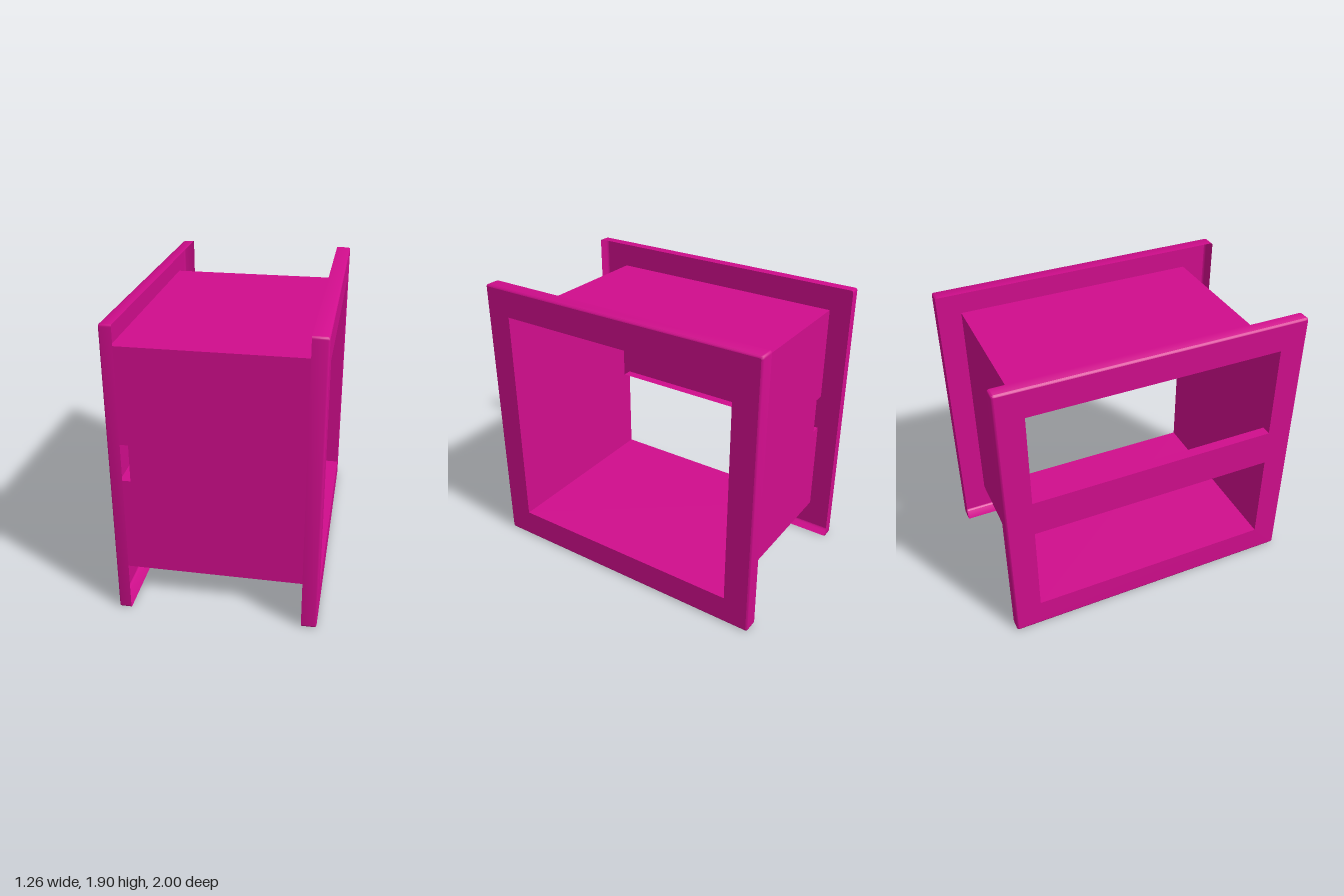
import * as THREE from 'three';
import { toCreasedNormals } from 'three/addons/utils/BufferGeometryUtils.js';

const H = 1.905;                       // overall height
const X = 0.632;                       // outer face of both flanges
const Z = 0.825, Y0 = 0.192, Y1 = 1.715; // duct section
const BAR0 = 0.83, BAR1 = 1.08, BAR_DEPTH = 0.068;
const BEVEL = 0.012;

const material = new THREE.MeshStandardMaterial({ color: 0xd00d8c, side: THREE.DoubleSide });

function addMesh(parent, name, geometry) {
  const mesh = new THREE.Mesh(geometry, material);
  mesh.name = name;
  parent.add(mesh);
  return mesh;
}

// Rounded flange outline in the (z, y) plane, shrunk by inset
function outline(inset) {
  const w = 1 - inset, b = inset, t = H - inset, r = 0.016 - inset * 0.5;
  const s = new THREE.Shape();
  s.moveTo(w, b + r).lineTo(w, t - r).quadraticCurveTo(w, t, w - r, t);
  s.lineTo(-w + r, t).quadraticCurveTo(-w, t, -w, t - r);
  s.lineTo(-w, b + r).quadraticCurveTo(-w, b, -w + r, b);
  s.lineTo(w - r, b).quadraticCurveTo(w, b, w, b + r);
  return s;
}

function rectHole(z0, z1, y0, y1) {
  return new THREE.Path().moveTo(z0, y0).lineTo(z0, y1).lineTo(z1, y1).lineTo(z1, y0).closePath();
}

// Folded edge of a flange: the outline swept along x, with a small bevel at the face
function rimGeometry(side, innerX) {
  const profile = [[innerX, 0], [X - BEVEL, 0], [X - BEVEL * 0.3, BEVEL * 0.3], [X, BEVEL]];
  const positions = [], index = [];
  let n = 0;
  for (const [x, inset] of profile) {
    const points = outline(inset).getPoints(4);
    n = points.length;
    for (const p of points) positions.push(side * x, p.y, p.x);
  }
  for (let j = 0; j < profile.length - 1; j++) {
    for (let i = 0; i < n - 1; i++) {
      const a = j * n + i, b = a + n;
      if (side > 0) index.push(a, b, a + 1, a + 1, b, b + 1);
      else index.push(a, a + 1, b, a + 1, b + 1, b);
    }
  }
  const g = new THREE.BufferGeometry();
  g.setAttribute('position', new THREE.Float32BufferAttribute(positions, 3));
  g.setIndex(index);
  return toCreasedNormals(g, 0.9);
}

// Sheet flange, open at the back, with one or more openings
function flange(name, side, innerX, holes) {
  const group = new THREE.Group();
  group.name = name;
  const shape = outline(BEVEL);
  shape.holes.push(...holes);
  const face = new THREE.ShapeGeometry(shape, 4);
  face.rotateY(side * Math.PI / 2).translate(side * X, 0, 0);
  addMesh(group, name + 'Face', face);
  addMesh(group, name + 'Rim', rimGeometry(side, innerX));
  return group;
}

// Horizontal sheet spanning x0..x1 across the duct; up is +1 or -1
function shelf(parent, name, x0, x1, y, up) {
  const g = new THREE.PlaneGeometry(x1 - x0, 2 * Z);
  g.rotateX(-up * Math.PI / 2).translate((x0 + x1) / 2, y, 0);
  addMesh(parent, name, g);
}

export function createModel() {
  const model = new THREE.Group();
  model.name = 'flangedDuct';

  // Flanges: one with a single opening, one split by the crossbar
  model.add(flange('leftFlange', 1, 0.536, [rectHole(-Z, Z, Y0, Y1)]));
  model.add(flange('rightFlange', -1, 0.554,
    [rectHole(-Z, Z, Y0, BAR0), rectHole(-Z, Z, BAR1, Y1)]));

  // Folded lips of the hollow crossbar
  const bar = new THREE.Group();
  bar.name = 'crossbar';
  shelf(bar, 'crossbarTopLip', -X, -X + BAR_DEPTH, BAR1, 1);
  shelf(bar, 'crossbarBottomLip', -X, -X + BAR_DEPTH, BAR0, -1);
  model.add(bar);

  // Thin duct; its side walls are notched where the crossbar meets them
  const duct = new THREE.Group();
  duct.name = 'duct';
  shelf(duct, 'ductTop', -X, X, Y1, 1);
  shelf(duct, 'ductBottom', -X, X, Y0, -1);
  const wall = new THREE.Shape();
  wall.moveTo(-X, Y0).lineTo(X, Y0).lineTo(X, Y1).lineTo(-X, Y1);
  wall.lineTo(-X, BAR1).lineTo(-X + BAR_DEPTH, BAR1);
  wall.lineTo(-X + BAR_DEPTH, BAR0).lineTo(-X, BAR0).closePath();
  addMesh(duct, 'ductFrontWall', new THREE.ShapeGeometry(wall).translate(0, 0, Z));
  const back = new THREE.ShapeGeometry(wall).translate(0, 0, -Z);
  const idx = back.index.array;
  for (let i = 0; i < idx.length; i += 3) [idx[i], idx[i + 1]] = [idx[i + 1], idx[i]];
  back.computeVertexNormals();
  addMesh(duct, 'ductBackWall', back);
  model.add(duct);

  return model;
}
